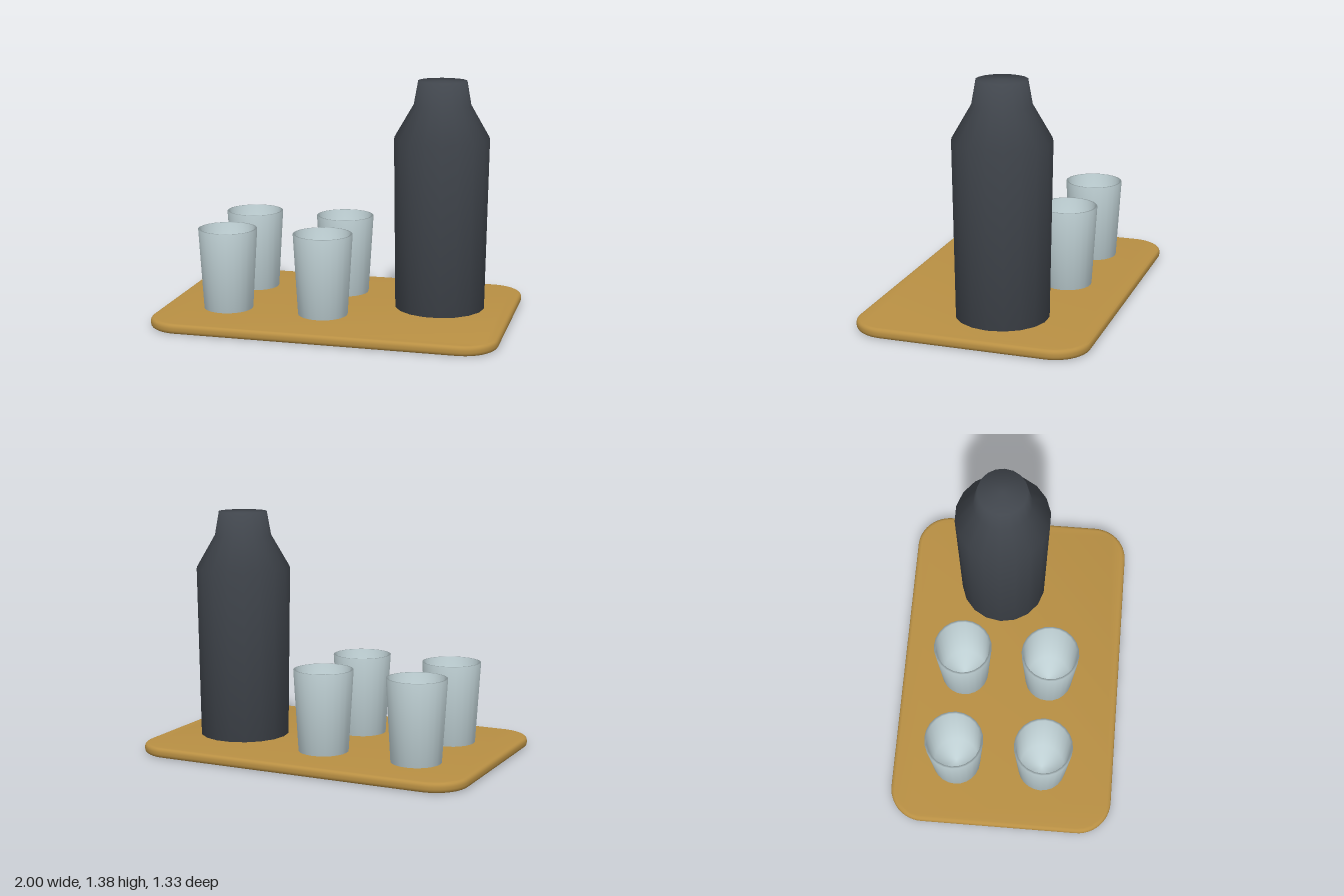
import * as THREE from 'three';
import { toCreasedNormals } from 'three/addons/utils/BufferGeometryUtils.js';

const BOARD_TOP = 0.057;

const mat = (name, color) => {
  const m = new THREE.MeshStandardMaterial({ color });
  m.name = name;
  return m;
};

const lathe = (points, sides) =>
  new THREE.LatheGeometry(points.map(([r, y]) => new THREE.Vector2(r, y)), sides, Math.PI / 2);

// Rounded rectangle slab with softened edges, lying flat on y = 0
function boardGeometry(width, depth, height, radius, bevel) {
  const x = width / 2 - bevel, y = depth / 2 - bevel, r = radius - bevel;
  const s = new THREE.Shape();
  s.absarc(x - r, y - r, r, 0, Math.PI / 2);
  s.absarc(-x + r, y - r, r, Math.PI / 2, Math.PI);
  s.absarc(-x + r, -y + r, r, Math.PI, Math.PI * 1.5);
  s.absarc(x - r, -y + r, r, Math.PI * 1.5, Math.PI * 2);
  const g = new THREE.ExtrudeGeometry(s, {
    depth: height - bevel * 2, bevelEnabled: true, bevelSize: bevel,
    bevelThickness: bevel, bevelSegments: 4, curveSegments: 6,
  });
  g.translate(0, 0, bevel);
  g.rotateX(-Math.PI / 2);
  return toCreasedNormals(g, 0.6);
}

export function createModel() {
  const group = new THREE.Group();
  group.name = 'drinksTray';
  const wood = mat('wood', 0xb88f43);
  const charcoal = mat('charcoal', 0x40454c);
  const glass = mat('paleGlass', 0xc8dade);

  const add = (name, geometry, material, x, y, z) => {
    const mesh = new THREE.Mesh(geometry, material);
    mesh.name = name;
    mesh.position.set(x, y, z);
    group.add(mesh);
  };

  // Serving board
  add('board', boardGeometry(2, 1.332, BOARD_TOP, 0.2, 0.022), wood, 0, 0, 0);

  // Closed bottle with sloped shoulders and tapered neck
  const bottle = lathe([
    [0, 0], [0.262, 0], [0.277, 0.995], [0.167, 1.185], [0.142, 1.325], [0, 1.325],
  ], 18);
  add('bottle', bottle, charcoal, 0.57, BOARD_TOP, -0.095);

  // Four hollow tumblers
  const tumbler = lathe([
    [0, 0], [0.143, 0], [0.171, 0.47], [0.158, 0.47], [0.133, 0.03], [0, 0.03],
  ], 24);
  for (const x of [-0.62, -0.05])
    for (const z of [-0.285, 0.235])
      add('tumbler', tumbler, glass, x, BOARD_TOP, z);

  return group;
}
